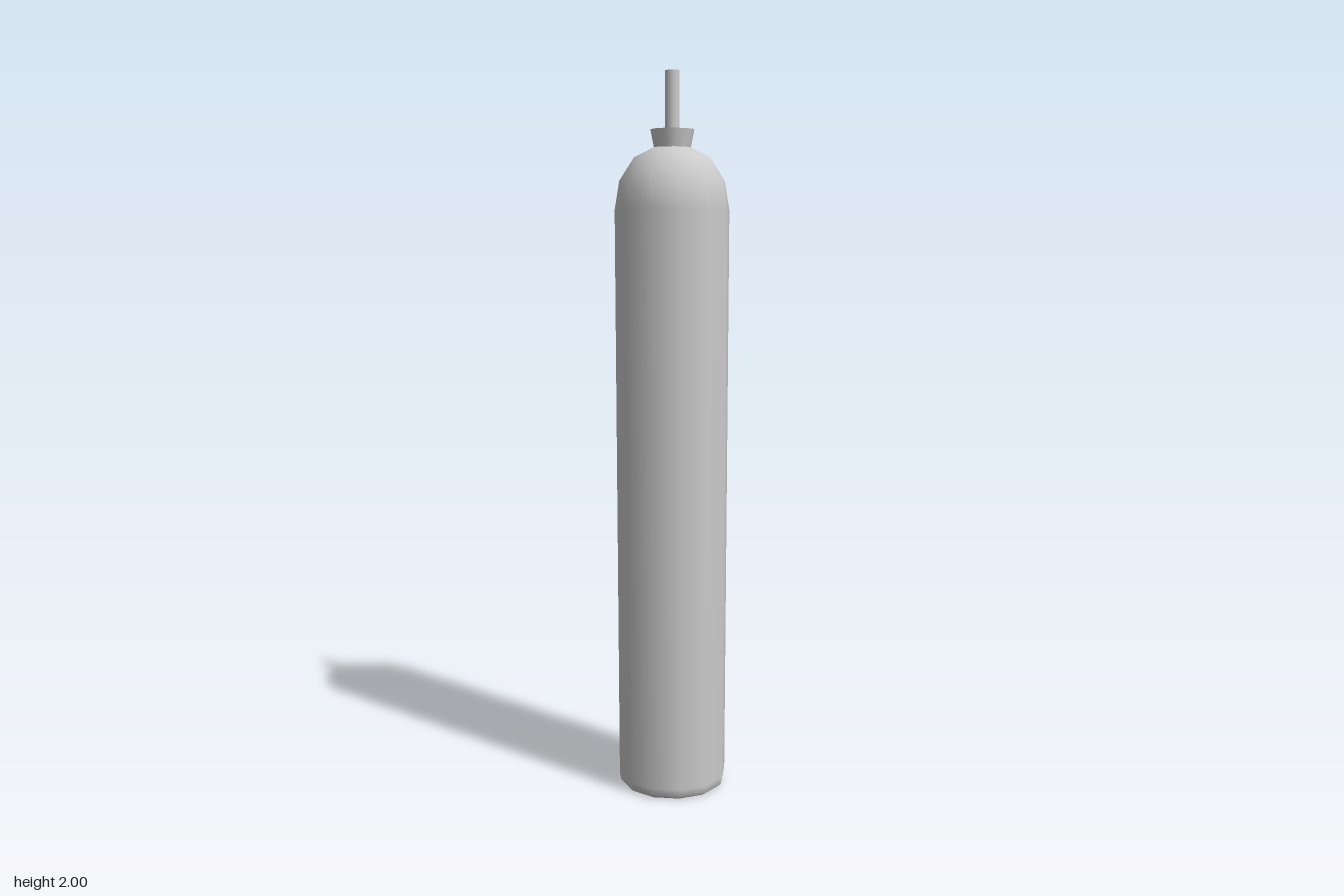
import * as THREE from 'three';

const SIDES = 12;

export function createModel() {
  const group = new THREE.Group();
  const material = new THREE.MeshStandardMaterial({ color: 0xcccccc });

  const add = (name, geometry, y = 0) => {
    const mesh = new THREE.Mesh(geometry, material);
    mesh.name = name;
    mesh.position.y = y;
    group.add(mesh);
  };

  // Tall cylinder body with a small bottom bevel and a domed shoulder: [radius, height]
  const profile = [
    [0, 0], [0.14, 0], [0.149, 0.008], [0.153, 0.03],
    [0.158, 1.63], [0.145, 1.708], [0.105, 1.77], [0.052, 1.797], [0, 1.8],
  ].map(([r, y]) => new THREE.Vector2(r, y));
  add('tankBody', new THREE.LatheGeometry(profile, SIDES));

  // Collar flaring upward on top of the shoulder
  add('collar', new THREE.CylinderGeometry(0.06, 0.049, 0.055, SIDES), 1.8175);

  // Thin valve stem
  add('valveStem', new THREE.CylinderGeometry(0.02, 0.02, 0.17, SIDES), 1.915);

  return group;
}
